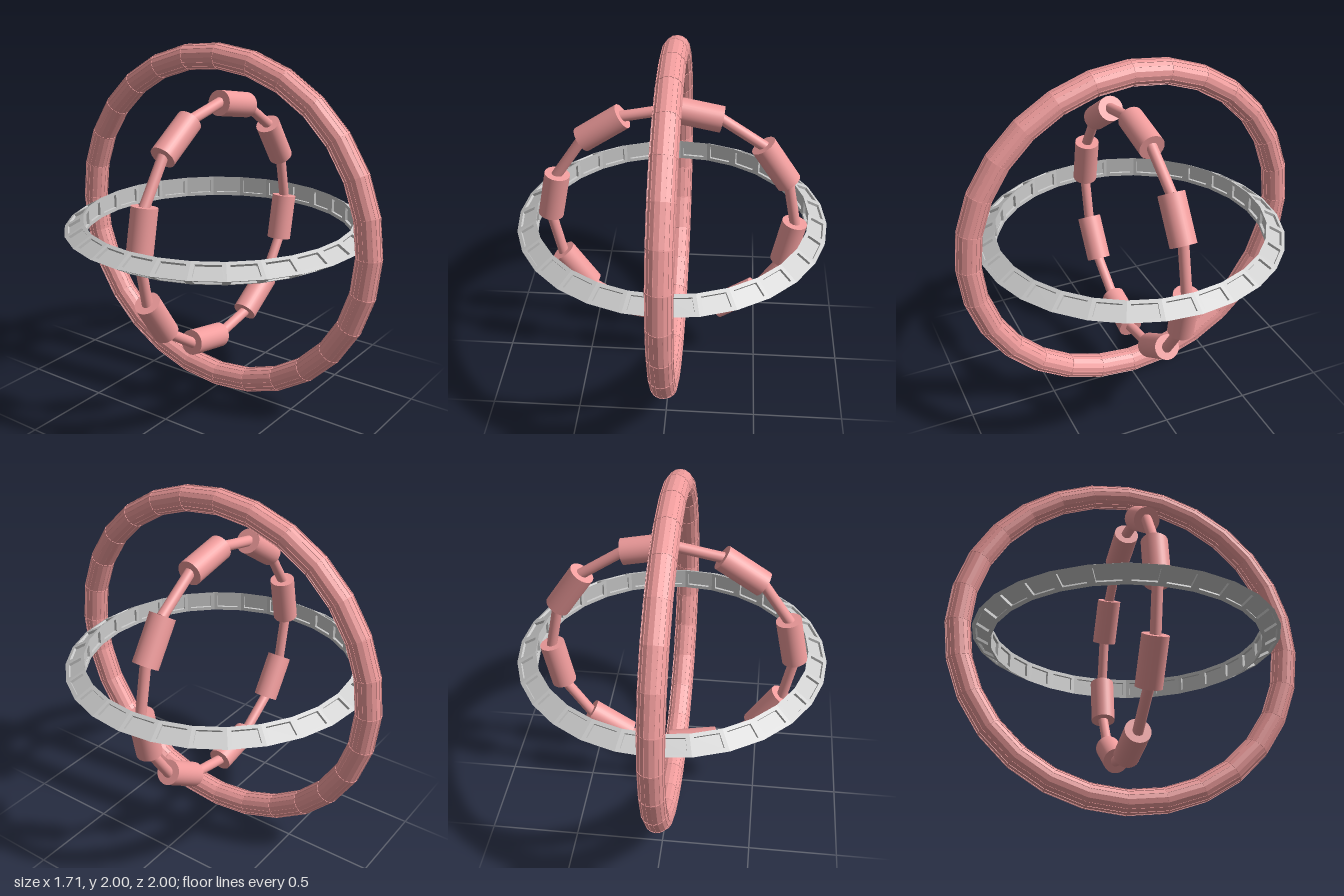
import * as THREE from 'three';

const PINK = 0xf09c9c, GREY = 0xcccccc;

// Faceted ring around y whose every face carries a sunken panel
function panelRing(R, tube, segs, sides, margin, depth) {
  const pos = [];
  const point = (i, j) => {
    const u = (i / segs) * Math.PI * 2, v = (j / sides) * Math.PI * 2;
    const r = R + tube * Math.cos(v);
    return new THREE.Vector3(r * Math.cos(u), tube * Math.sin(v), r * Math.sin(u));
  };
  const quad = (a, b, c, d) => {
    for (const p of [a, b, c, a, c, d]) pos.push(p.x, p.y, p.z);
  };
  for (let i = 0; i < segs; i++) for (let j = 0; j < sides; j++) {
    const c = [point(i, j), point(i, j + 1), point(i + 1, j + 1), point(i + 1, j)];
    const normal = c[2].clone().sub(c[0]).cross(c[3].clone().sub(c[1])).normalize();
    const rim = c.map((p, k) => {
      const e = c[(k + 1) % 4].clone().sub(p).normalize();
      const f = c[(k + 3) % 4].clone().sub(p).normalize();
      return e.add(f).multiplyScalar(margin).add(p);
    });
    const floor = rim.map(p => p.clone().addScaledVector(normal, -depth));
    for (let k = 0; k < 4; k++) {
      const n = (k + 1) % 4;
      quad(c[k], c[n], rim[n], rim[k]);            // frame
      quad(rim[k], rim[n], floor[n], floor[k]);    // recess wall
    }
    quad(...floor);
  }
  const geo = new THREE.BufferGeometry();
  geo.setAttribute('position', new THREE.Float32BufferAttribute(pos, 3));
  geo.computeVertexNormals();
  return geo;
}

export function createModel() {
  const model = new THREE.Group();
  model.name = 'gyroscopeRings';
  const pinkFlat = new THREE.MeshStandardMaterial({ color: PINK, flatShading: true });
  const pinkSmooth = new THREE.MeshStandardMaterial({ color: PINK });
  const greyFlat = new THREE.MeshStandardMaterial({ color: GREY, flatShading: true });

  // Upright outer ring with fine panel seams
  const outer = new THREE.Mesh(panelRing(0.93, 0.07, 28, 16, 0.003, 0.003), pinkFlat);
  outer.name = 'outerRing';
  outer.rotation.z = Math.PI / 2;
  outer.position.y = 1;
  model.add(outer);

  // Level middle ring, triangular in section, with deep windows
  const middle = new THREE.Mesh(panelRing(0.785, 0.07, 28, 3, 0.021, 0.015), greyFlat);
  middle.name = 'middleRing';
  middle.position.y = 1;
  model.add(middle);

  // Inner ring of alternating thin rods and thick sleeves
  const inner = new THREE.Group();
  inner.name = 'innerRing';
  inner.position.y = 1;
  const count = 16, R = 0.68, step = (Math.PI * 2) / count;
  const chord = 2 * R * Math.sin(step / 2), mid = R * Math.cos(step / 2);
  const sleeveGeo = new THREE.CylinderGeometry(0.07, 0.07, chord, 32);
  const rodGeo = new THREE.CylinderGeometry(0.029, 0.029, chord + 0.02, 32);
  for (let i = 0; i < count; i++) {
    const thick = i % 2 === 1;
    const link = new THREE.Mesh(thick ? sleeveGeo : rodGeo, pinkSmooth);
    link.name = thick ? 'sleeve' : 'rod';
    const a = (i + 0.5) * step;
    link.position.set(mid * Math.cos(a), mid * Math.sin(a), 0);
    link.rotation.z = a;
    inner.add(link);
  }
  model.add(inner);
  return model;
}
